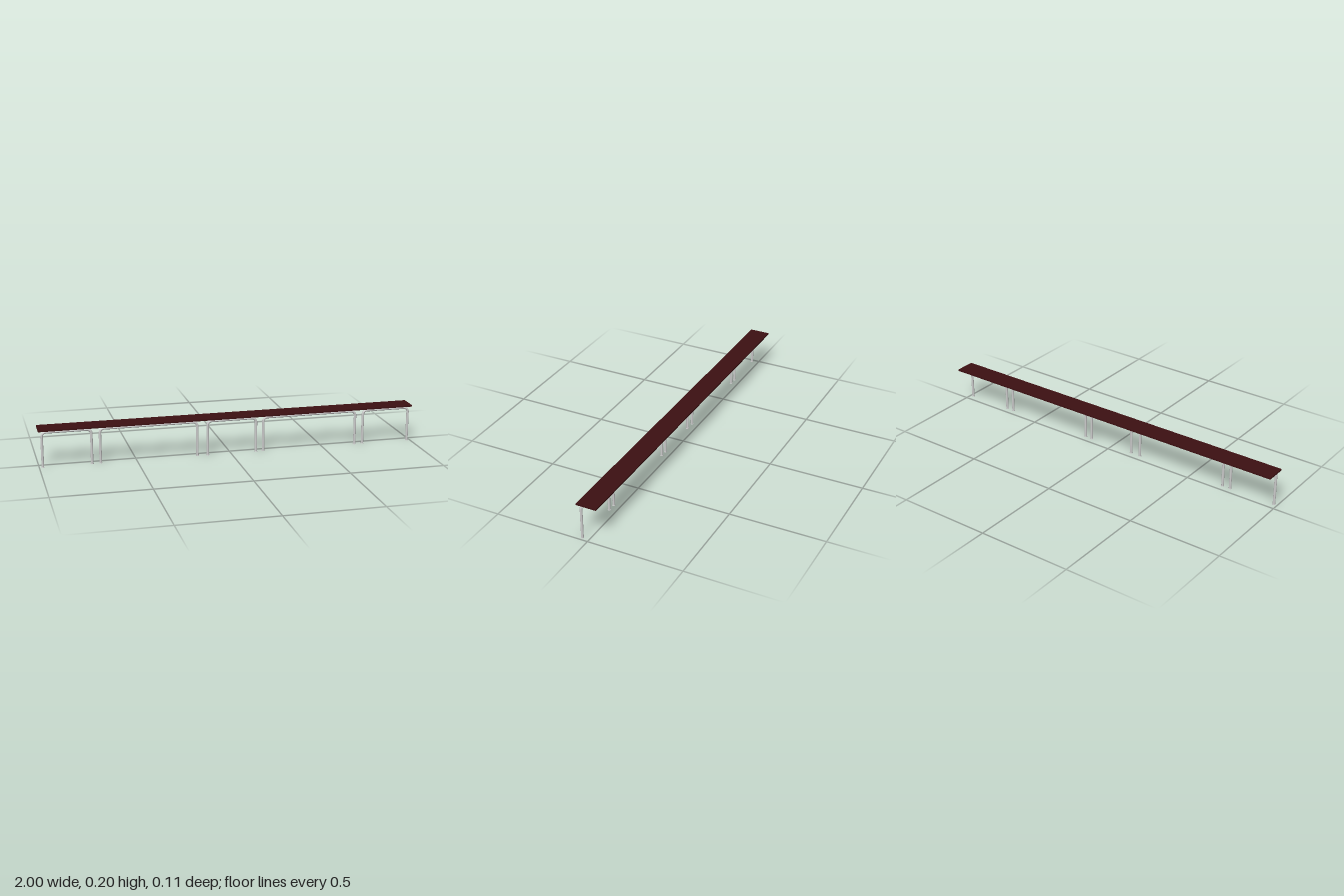
import * as THREE from 'three';

const TUBE_R = 0.0067, BEND = 0.022, RAIL_Y = 0.1835, LEG_Z = 0.037;

// Centre line of an inverted U: leg up, rounded corner, rail, rounded corner, leg down
function framePath(x0, x1) {
  const v = (x, y) => new THREE.Vector3(x, y, LEG_Z);
  const k = BEND * 0.4477; // handle offset for a quarter circle
  const low = RAIL_Y - BEND;
  const path = new THREE.CurvePath();
  path.add(new THREE.LineCurve3(v(x0, 0.001), v(x0, low)));
  path.add(new THREE.CubicBezierCurve3(v(x0, low), v(x0, RAIL_Y - k), v(x0 + k, RAIL_Y), v(x0 + BEND, RAIL_Y)));
  path.add(new THREE.LineCurve3(v(x0 + BEND, RAIL_Y), v(x1 - BEND, RAIL_Y)));
  path.add(new THREE.CubicBezierCurve3(v(x1 - BEND, RAIL_Y), v(x1 - k, RAIL_Y), v(x1, RAIL_Y - k), v(x1, low)));
  path.add(new THREE.LineCurve3(v(x1, low), v(x1, 0.001)));
  return path;
}

export function createModel() {
  const model = new THREE.Group();
  model.name = 'longCounter';
  const wood = new THREE.MeshStandardMaterial({ color: 0x3d1012 });
  const metal = new THREE.MeshStandardMaterial({ color: 0xcccccc });

  // Long thin board
  const board = new THREE.Mesh(new THREE.BoxGeometry(2, 0.008, 0.108), wood);
  board.name = 'board';
  board.position.y = 0.195;
  model.add(board);

  // Bent tube frames, alternating short and long, along the front edge
  const spans = [[-0.982, -0.731], [-0.687, -0.18], [-0.125, 0.135], [0.175, 0.683], [0.727, 0.982]];
  const footGeometry = new THREE.CylinderGeometry(0.0075, 0.0083, 0.003, 20);
  spans.forEach(([x0, x1], i) => {
    const frame = new THREE.Group();
    frame.name = `legFrame${i + 1}`;
    const tube = new THREE.Mesh(new THREE.TubeGeometry(framePath(x0, x1), 160, TUBE_R, 16), metal);
    tube.name = 'bentTube';
    frame.add(tube);
    // Flat end caps under both legs
    for (const x of [x0, x1]) {
      const foot = new THREE.Mesh(footGeometry, metal);
      foot.name = 'foot';
      foot.position.set(x, 0.0015, LEG_Z);
      frame.add(foot);
    }
    model.add(frame);
  });
  return model;
}
